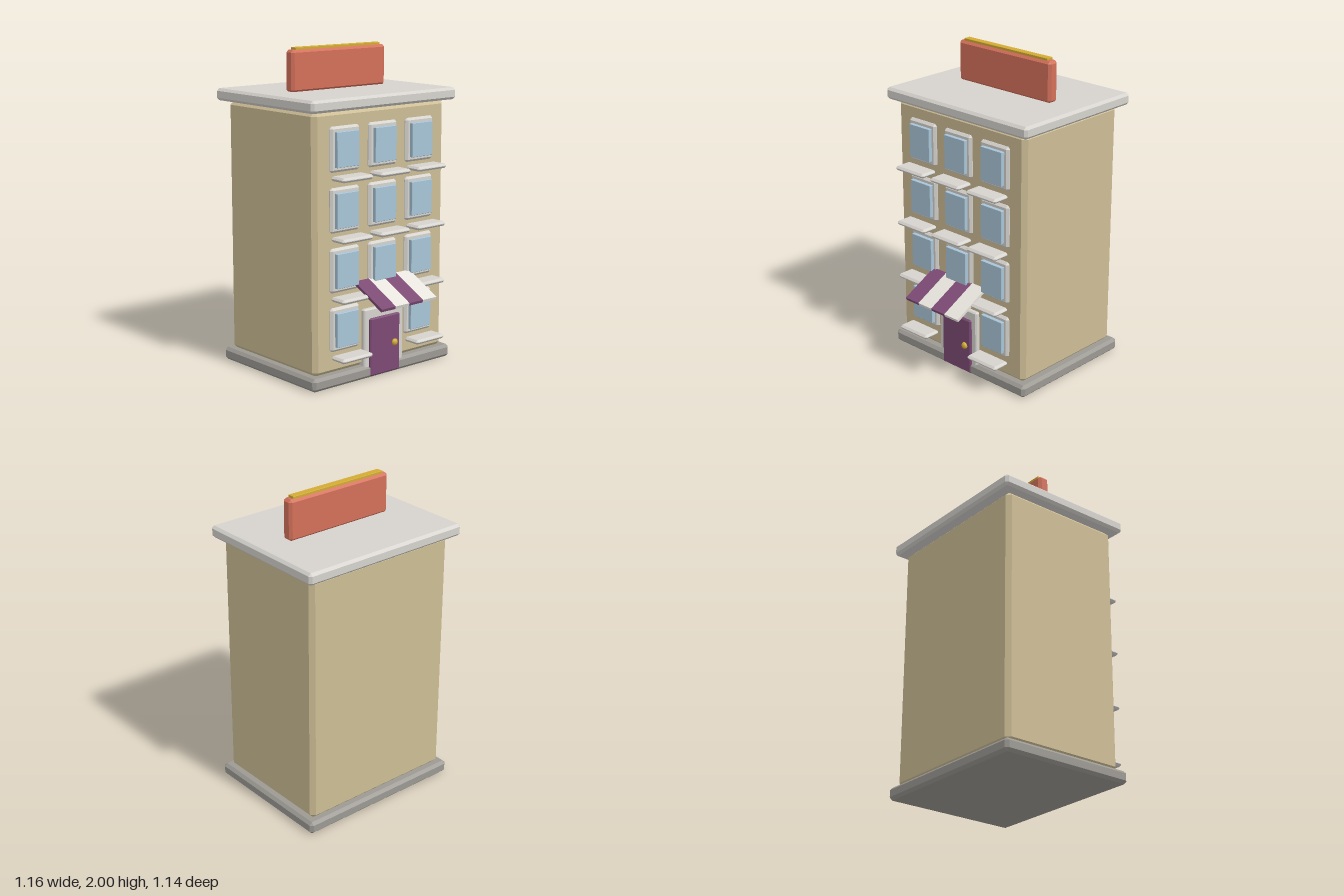
import * as THREE from 'three';
import { ConvexGeometry } from 'three/addons/geometries/ConvexGeometry.js';

const mat = (color) => new THREE.MeshStandardMaterial({ color });
const M = {
  wall: mat(0xcdbd95), trim: mat(0xd6d3ce), base: mat(0x9c9993), glass: mat(0xa8c5d8),
  plum: mat(0x7c4a74), white: mat(0xe6e3dc), sign: mat(0xd3705a), gold: mat(0xd2ab34),
};

// Box with chamfered edges, given by its limits on each axis
function chamferBox(name, material, [x0, x1], [y0, y1], [z0, z1], bevel) {
  const h = [(x1 - x0) / 2, (y1 - y0) / 2, (z1 - z0) / 2];
  const points = [];
  for (const sx of [-1, 1]) for (const sy of [-1, 1]) for (const sz of [-1, 1])
    for (let full = 0; full < 3; full++) {
      const s = [sx, sy, sz];
      points.push(new THREE.Vector3(...h.map((v, i) => s[i] * (i === full ? v : v - bevel))));
    }
  const mesh = new THREE.Mesh(new ConvexGeometry(points), material);
  mesh.position.set((x0 + x1) / 2, (y0 + y1) / 2, (z0 + z1) / 2);
  mesh.name = name;
  return mesh;
}

// Window with its frame, raised pane and, if wanted, a sill
function createWindow(x, y, withSill) {
  const g = new THREE.Group();
  g.name = 'window';
  g.add(chamferBox('windowFrame', M.trim, [x - 0.113, x + 0.113], [y - 0.135, y + 0.135], [0.29, 0.333], 0.014));
  g.add(chamferBox('windowPane', M.glass, [x - 0.085, x + 0.085], [y - 0.105, y + 0.105], [0.31, 0.356], 0.002));
  if (withSill)
    g.add(chamferBox('windowSill', M.trim, [x - 0.12, x + 0.12], [y - 0.179, y - 0.151], [0.33, 0.45], 0.012));
  return g;
}

// Sloping striped awning, one extruded strip per stripe
function createAwning() {
  const g = new THREE.Group();
  g.name = 'awning';
  const profile = new THREE.Shape([
    [0.31, 0.61], [0.325, 0.622], [0.568, 0.497], [0.562, 0.48],
  ].map(([z, y]) => new THREE.Vector2(-z, y)));
  const width = 0.1125;
  for (let i = 0; i < 4; i++) {
    const geo = new THREE.ExtrudeGeometry(profile, { depth: width, bevelEnabled: false });
    geo.rotateY(Math.PI / 2);
    const stripe = new THREE.Mesh(geo, i % 2 ? M.white : M.plum);
    stripe.position.x = -0.225 + i * width;
    stripe.name = 'awningStripe';
    g.add(stripe);
  }
  return g;
}

// Door, its surround and the knob
function createDoor() {
  const g = new THREE.Group();
  g.name = 'entrance';
  g.add(chamferBox('doorSurround', M.trim, [-0.16, 0.16], [0.05, 0.435], [0.29, 0.342], 0.008));
  g.add(chamferBox('door', M.plum, [-0.122, 0.122], [0.01, 0.375], [0.3, 0.357], 0.008));
  const knob = new THREE.Mesh(new THREE.SphereGeometry(0.022, 16, 12), M.gold);
  knob.name = 'doorKnob';
  knob.position.set(0.075, 0.193, 0.358);
  knob.scale.z = 0.8;
  g.add(knob);
  return g;
}

export function createModel() {
  const model = new THREE.Group();
  model.name = 'building';

  // Main masses
  model.add(chamferBox('base', M.base, [-0.565, 0.565], [0, 0.08], [-0.55, 0.352], 0.018));
  model.add(chamferBox('walls', M.wall, [-0.528, 0.528], [0.075, 1.662], [-0.515, 0.314], 0.027));
  model.add(chamferBox('cornice', M.trim, [-0.58, 0.58], [1.66, 1.735], [-0.57, 0.365], 0.016));

  // Four floors of windows; the door takes the middle of the ground floor
  for (let floor = 0; floor < 4; floor++)
    for (let col = -1; col <= 1; col++) {
      if (floor === 0 && col === 0) continue;
      const overAwning = floor === 1 && col === 0;
      model.add(createWindow(col * 0.3, 0.349 + floor * 0.362, !overAwning));
    }

  model.add(createDoor(), createAwning());

  // Rooftop sign with a gold cap
  model.add(chamferBox('signBoard', M.sign, [-0.375, 0.375], [1.73, 1.986], [-0.14, -0.065], 0.016));
  model.add(chamferBox('signCap', M.gold, [-0.34, 0.34], [1.96, 2], [-0.126, -0.08], 0.002));
  return model;
}
